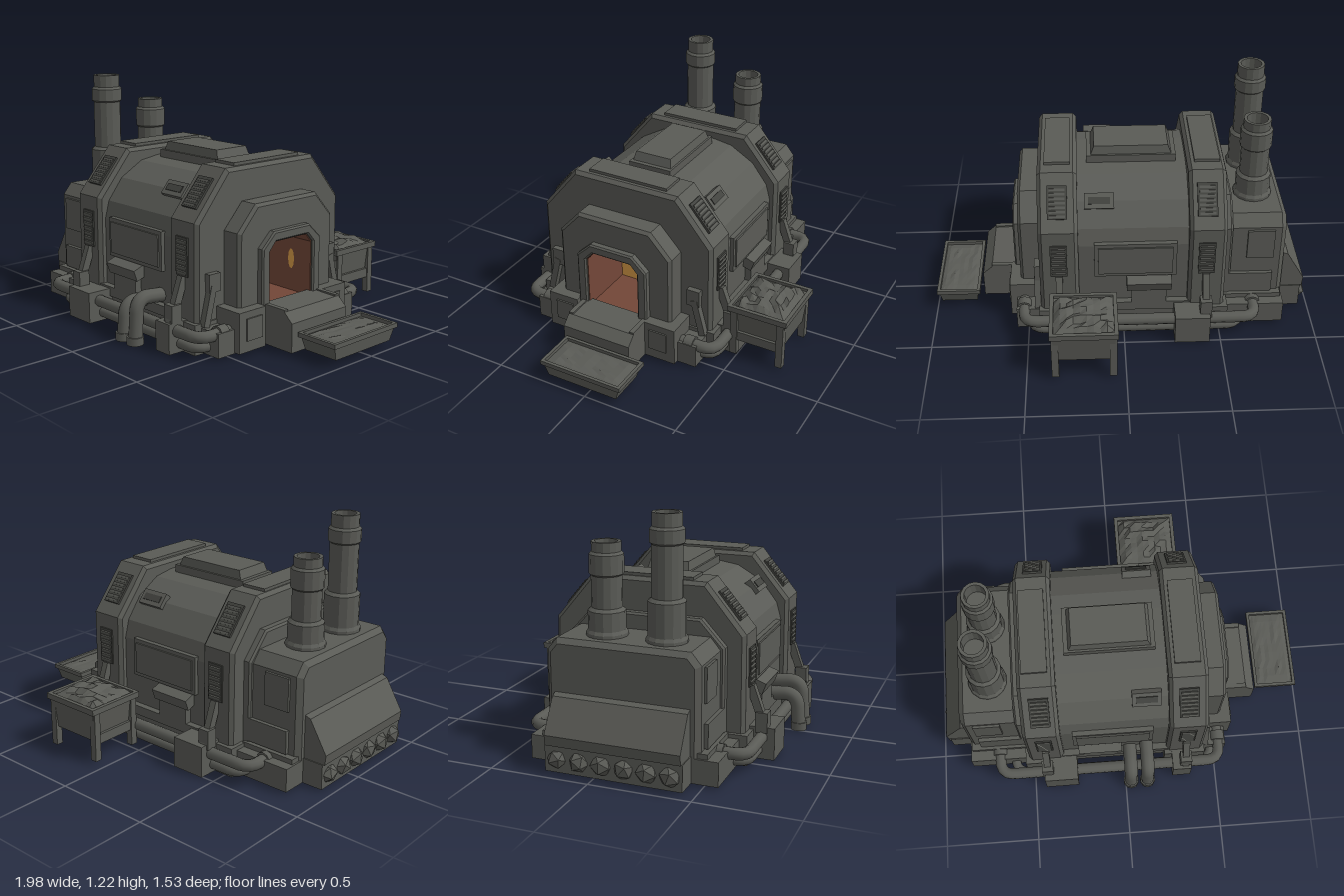
import * as THREE from 'three';

const CZ = 0.1; // centre line of the hall in z

export function createModel() {
  const root = new THREE.Group();
  const mat = (name, color, opts = {}) => {
    const m = new THREE.MeshStandardMaterial({ color, ...opts });
    m.name = name;
    return m;
  };
  const metal = mat('dark metal', 0x5a5b56);
  const slot = mat('vent shadow', 0x42433f);
  const glow = mat('furnace orange', 0xdd9e49);
  const brick = mat('furnace lining', 0x734738);

  const add = (name, geo, x = 0, y = 0, z = 0, m = metal, parent = root) => {
    const mesh = new THREE.Mesh(geo, m);
    mesh.name = name;
    mesh.position.set(x, y, z);
    parent.add(mesh);
    return mesh;
  };
  // Box given by its limits
  const block = (name, x0, x1, y0, y1, z0, z1, m = metal) =>
    add(name, new THREE.BoxGeometry(x1 - x0, y1 - y0, z1 - z0), (x0 + x1) / 2, (y0 + y1) / 2, (z0 + z1) / 2, m);
  // Box on side s (+1 front, -1 back), h from the centre line, tilted outward by rx
  const sideBox = (name, s, x, y, h, w, hh, d, rx = 0, m = metal) => {
    const b = add(name, new THREE.BoxGeometry(w, hh, d), x, y, CZ + s * h, m);
    b.rotation.x = s * rx;
    return b;
  };
  // Mirrors a half outline [half width, y]
  const outline = (half, Type = THREE.Shape) => {
    const pts = half.map(([a, y]) => new THREE.Vector2(a, y));
    const left = half.filter(([a]) => a > 0).map(([a, y]) => new THREE.Vector2(-a, y)).reverse();
    return new Type([...pts, ...left]);
  };
  // Symmetric outline swept along x, with optional opening and bevel
  const sweep = (name, half, x0, x1, { hole, bevel = 0, m = metal, z = CZ } = {}) => {
    const shape = outline(half);
    if (hole) shape.holes.push(outline(hole, THREE.Path));
    const geo = new THREE.ExtrudeGeometry(shape, {
      depth: x1 - x0 - 2 * bevel, bevelEnabled: bevel > 0, bevelSize: bevel,
      bevelThickness: bevel, bevelOffset: -bevel, bevelSegments: 1,
    });
    geo.translate(0, 0, bevel).rotateY(Math.PI / 2);
    return add(name, geo, x0, 0, z, m);
  };
  // Outline in (x, y) swept along z
  const sweepZ = (name, pts, z0, z1, m = metal) => add(name, new THREE.ExtrudeGeometry(
    new THREE.Shape(pts.map(p => new THREE.Vector2(...p))), { depth: z1 - z0, bevelEnabled: false }), 0, 0, z0, m);
  const taper = (name, w, h, d, k, x, y, z) => {
    const g = new THREE.BoxGeometry(w, h, d).toNonIndexed(), p = g.attributes.position;
    for (let i = 0; i < p.count; i++) if (p.getY(i) < 0) p.setXYZ(i, p.getX(i) * k, p.getY(i), p.getZ(i) * k);
    g.computeVertexNormals();
    return add(name, g, x, y, z);
  };
  // Pipe through points with rounded corners
  const pipe = (name, pts, r) => {
    const v = pts.map(p => new THREE.Vector3(...p)), path = new THREE.CurvePath();
    let last = v[0];
    for (let i = 1; i < v.length - 1; i++) {
      const a = v[i].clone().add(v[i - 1].clone().sub(v[i]).setLength(0.07));
      const b = v[i].clone().add(v[i + 1].clone().sub(v[i]).setLength(0.07));
      path.add(new THREE.LineCurve3(last, a));
      path.add(new THREE.QuadraticBezierCurve3(a, v[i], b));
      last = b;
    }
    path.add(new THREE.LineCurve3(last, v[v.length - 1]));
    return add(name, new THREE.TubeGeometry(path, 60, r, 10), 0, 0, 0);
  };
  let seed = 7;
  const rnd = () => (seed = (seed * 16807) % 2147483647) / 2147483647;
  // Faceted heap of ore
  const rubble = (name, w, d, h, x, y, z) => {
    const g0 = new THREE.PlaneGeometry(w, d, 9, 9).rotateX(-Math.PI / 2), p = g0.attributes.position;
    for (let i = 0; i < p.count; i++) {
      const u = p.getX(i) / w, v = p.getZ(i) / d;
      const edge = Math.max(0, 1 - 4 * Math.max(u * u, v * v));
      p.setY(i, h * (0.35 + 0.65 * rnd()) * Math.min(1, edge * 2));
    }
    const g = g0.toNonIndexed();
    g.computeVertexNormals();
    return add(name, g, x, y, z);
  };
  const rim = (name, x0, x1, z0, z1, y0, y1, t) => {
    block(name, x0, x1, y0, y1, z0, z0 + t);
    block(name, x0, x1, y0, y1, z1 - t, z1);
    block(name, x0, x0 + t, y0, y1, z0 + t, z1 - t);
    block(name, x1 - t, x1, y0, y1, z0 + t, z1 - t);
  };

  // Foundation
  block('foundation', -0.84, 0.56, 0.01, 0.13, CZ - 0.47, CZ + 0.47);
  block('endFoundation', -0.95, -0.84, 0.01, 0.14, CZ - 0.34, CZ + 0.34);
  for (const x of [-0.43, 0.33]) block('archFooting', x - 0.11, x + 0.11, 0, 0.15, CZ - 0.51, CZ + 0.51);

  // Hall, arches and stepped entrance
  const door = [[0.148, 0.18], [0.148, 0.465], [0.108, 0.51]];
  const archHalf = [[0.49, 0.01], [0.487, 0.63], [0.292, 0.865]];
  sweep('hall', [[0.45, 0.05], [0.45, 0.52], [0.425, 0.61], [0.34, 0.72], [0.21, 0.795], [0.1, 0.812]], -0.36, 0.235);
  sweep('rearArch', archHalf, -0.52, -0.33, { bevel: 0.018 });
  sweep('frontArch', archHalf, 0.23, 0.43, { bevel: 0.018, hole: door });
  sweep('entranceStep', [[0.32, 0.01], [0.32, 0.575], [0.205, 0.7]], 0.42, 0.54, { bevel: 0.015, hole: door });
  sweep('entranceFrame', [[0.2, 0.01], [0.2, 0.485], [0.12, 0.56]], 0.53, 0.575, { bevel: 0.008, hole: door });
  sweep('rearCollar', [[0.4, 0.05], [0.4, 0.57], [0.28, 0.7]], -0.56, -0.5, { bevel: 0.01 });
  sweep('furnaceLining', door, 0.24, 0.56, { hole: [[0.144, 0.184], [0.144, 0.463], [0.106, 0.506]], m: brick });
  block('furnaceFire', 0.236, 0.244, 0.17, 0.52, CZ - 0.15, CZ + 0.15, glow);
  const flame = add('wallGlow', new THREE.CircleGeometry(0.035, 10), 0.43, 0.35, CZ - 0.142, glow);
  flame.scale.set(0.6, 1.5, 1);

  // Roof hatch and arch caps
  block('roofHatch', -0.28, 0.18, 0.79, 0.85, -0.02, 0.22);
  taper('roofHatchLid', 0.38, 0.06, 0.2, 1.12, -0.05, 0.865, 0.1);
  for (const x of [-0.43, 0.33]) block('archCap', x - 0.065, x + 0.065, 0.86, 0.88, CZ - 0.22, CZ + 0.22);

  // Vents, panels, braces and pipework on both long sides
  for (const s of [1, -1]) {
    for (const x of [-0.42, 0.33]) {
      sideBox('slopeVent', s, x, 0.75, 0.389, 0.1, 0.17, 0.02, -0.707, slot);
      sideBox('wallVent', s, x, 0.46, 0.488, 0.085, 0.19, 0.014, 0, slot);
      for (let i = -3; i <= 3; i++) {
        sideBox('slopeSlat', s, x, 0.75 + i * 0.017, 0.392 - i * 0.0145, 0.08, 0.012, 0.026, -0.5);
        sideBox('wallSlat', s, x, 0.46 + i * 0.025, 0.493, 0.07, 0.013, 0.016, 0.3);
      }
      sideBox('brace', s, x, 0.25, 0.53, 0.035, 0.24, 0.04, -0.35);
      sideBox('braceFoot', s, x, 0.19, 0.55, 0.06, 0.1, 0.06);
    }
    sideBox('hallPanel', s, -0.06, 0.44, 0.45, 0.42, 0.2, 0.04);
    sideBox('hallPanelFace', s, -0.06, 0.44, 0.473, 0.38, 0.16, 0.01);
    sideBox('hallHood', s, -0.13, 0.3, 0.465, 0.23, 0.06, 0.08, 0.35);
    sideBox('hallDuct', s, -0.13, 0.21, 0.46, 0.18, 0.12, 0.05);
    sideBox('hallSkirt', s, -0.05, 0.15, 0.46, 0.58, 0.05, 0.05);
    sideBox('slopeBox', s, 0.12, 0.72, 0.34, 0.15, 0.08, 0.045, -0.7);
    sideBox('slopeBoxSlot', s, 0.12, 0.735, 0.357, 0.11, 0.035, 0.009, -0.7, slot);
    sideBox('pipeClampLarge', s, -0.35, 0.085, 0.54, 0.18, 0.16, 0.15);
    sideBox('pipeClampSmall', s, 0.31, 0.08, 0.53, 0.1, 0.15, 0.14);
    const z = h => CZ + s * h;
    pipe('upperPipe', [[-0.68, 0.115, z(0.34)], [-0.68, 0.115, z(0.55)], [0.52, 0.115, z(0.55)], [0.52, 0.115, z(0.3)]], 0.03);
    pipe('lowerPipe', [[-0.6, 0.05, z(0.34)], [-0.6, 0.05, z(0.53)], [0.48, 0.05, z(0.53)], [0.48, 0.05, z(0.3)]], 0.026);
    for (const [x, h] of [[-0.68, 0.42], [0.52, 0.42]]) {
      const c = add('pipeCollar', new THREE.CylinderGeometry(0.04, 0.04, 0.05, 10), x, 0.115, z(h));
      c.rotation.x = Math.PI / 2;
    }
    // Entrance corner housings
    sideBox('cornerHousing', s, 0.515, 0.115, 0.285, 0.16, 0.2, 0.17);
    sideBox('cornerPlate', s, 0.597, 0.125, 0.275, 0.012, 0.11, 0.1);
    sideBox('endBracket', s, 0.44, 0.34, 0.4, 0.04, 0.09, 0.07);
    sideBox('endBrace', s, 0.445, 0.23, 0.43, 0.035, 0.2, 0.035, -0.25);
    // Boiler side plates
    sideBox('boilerPlate', s, -0.71, 0.46, 0.38, 0.14, 0.17, 0.025);
    sideBox('boilerLedge', s, -0.655, 0.22, 0.375, 0.25, 0.12, 0.05);
    sideBox('boilerFoot', s, -0.68, 0.085, 0.385, 0.3, 0.14, 0.06);
  }

  // Boiler house with sloped end hood
  sweep('boilerHouse', [[0.38, 0.02], [0.38, 0.56], [0.33, 0.62]], -0.84, -0.5, { bevel: 0.025 });
  sweepZ('endHood', [[-0.82, 0.14], [-0.96, 0.14], [-0.965, 0.19], [-0.87, 0.35], [-0.82, 0.37]], CZ - 0.335, CZ + 0.335);
  for (let i = 0; i < 6; i++) {
    const k = add('endRock', new THREE.IcosahedronGeometry(0.06, 0), -0.94, 0.075, CZ - 0.28 + i * 0.112);
    k.scale.set(0.85, 0.8 + 0.2 * rnd(), 0.9);
    k.rotation.x = rnd() * 3;
  }

  // Chimneys: open stacks turned on a lathe
  const chimney = (name, z, top, base, ring0, ring1) => {
    const p = [[0.1, 0.6], [0.1, 0.635], [0.09, 0.65], [0.09, base], [0.073, base + 0.015], [0.073, ring0],
      [0.082, ring0 + 0.008], [0.082, ring1], [0.07, ring1 + 0.012], [0.07, top], [0.054, top], [0.054, top - 0.09], [0, top - 0.09]];
    const g = new THREE.LatheGeometry(p.map(q => new THREE.Vector2(...q)), 14).toNonIndexed();
    g.computeVertexNormals();
    add(name, g, -0.685, 0, z);
  };
  chimney('tallChimney', 0.265, 1.215, 0.81, 1.07, 1.14);
  chimney('shortChimney', -0.035, 1.063, 0.74, 0.905, 1.005);

  // Curved hoses at the front
  for (const x of [0.03, 0.12]) {
    const dy = x > 0.1 ? 0.04 : 0;
    pipe('hose', [[x, 0.17 + dy, 0.5], [x, 0.19 + dy, 0.7], [x, 0.01, 0.715]], 0.036);
    add('hoseFoot', new THREE.CylinderGeometry(0.042, 0.042, 0.04, 10), x, 0.02, 0.715);
  }

  // Entrance chute and slag tray
  sweepZ('chute', [[0.54, 0.015], [0.75, 0.015], [0.75, 0.16], [0.7, 0.205], [0.54, 0.21]], -0.1, 0.28);
  block('chuteLip', 0.56, 0.7, 0.2, 0.215, -0.1, -0.075);
  block('chuteLip', 0.56, 0.7, 0.2, 0.215, 0.255, 0.28);
  taper('tray', 0.21, 0.07, 0.43, 0.9, 0.88, 0.065, 0.03);
  rim('trayRim', 0.765, 0.995, -0.195, 0.255, 0.095, 0.118, 0.016);
  rubble('trayOre', 0.2, 0.42, 0.014, 0.88, 0.1, 0.03);

  // Ore bin on legs at the back
  taper('oreBin', 0.32, 0.17, 0.3, 0.86, 0.21, 0.2, -0.61);
  rim('oreBinRim', 0.04, 0.38, -0.77, -0.45, 0.27, 0.3, 0.02);
  rubble('oreHeap', 0.3, 0.28, 0.05, 0.21, 0.285, -0.61);
  for (const x of [0.065, 0.355]) {
    for (const z of [-0.735, -0.485]) block('oreBinLeg', x - 0.018, x + 0.018, 0.015, 0.28, z - 0.018, z + 0.018);
    block('oreBinRail', x - 0.012, x + 0.012, 0.1, 0.15, -0.735, -0.485);
  }
  return root;
}
